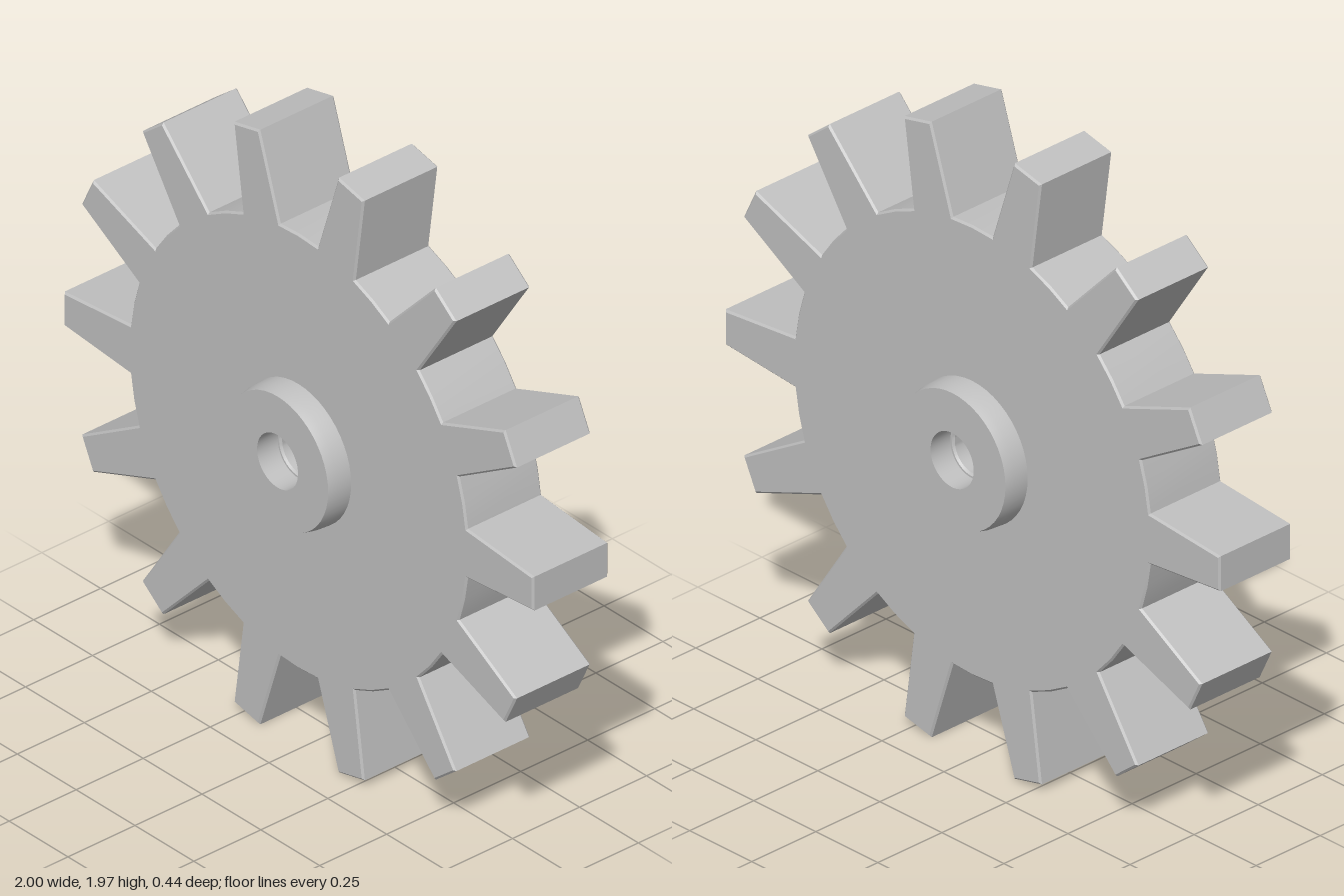
import * as THREE from 'three';
import { toCreasedNormals } from 'three/addons/utils/BufferGeometryUtils.js';

const TEETH = 14, CENTER_Y = 0.988;
const ROOT_R = 0.72, ROOT_HALF = 0.081, TIP_X = 0.998, TIP_HALF = 0.056;
const BODY_Z = 0.141, HUB_Z = 0.218, BEVEL = 0.006;

// Outline of the wheel: tapered teeth joined by short arcs at the root
function gearShape() {
  const pts = [];
  const step = (Math.PI * 2) / TEETH;
  const rootX = Math.sqrt(ROOT_R ** 2 - ROOT_HALF ** 2);
  const origin = new THREE.Vector2();
  for (let i = 0; i < TEETH; i++) {
    const corners = [[rootX, -ROOT_HALF], [TIP_X, -TIP_HALF], [TIP_X, TIP_HALF], [rootX, ROOT_HALF]];
    for (const [x, y] of corners) pts.push(new THREE.Vector2(x, y).rotateAround(origin, i * step));
    pts.push(new THREE.Vector2(ROOT_R, 0).rotateAround(origin, (i + 0.5) * step));
  }
  const shape = new THREE.Shape(pts);
  shape.holes.push(new THREE.Path().absarc(0, 0, 0.075, 0, Math.PI * 2, true));
  return shape;
}

// Slightly tapered collar with a bore wider than the wheel's hole
function hubGeometry() {
  const profile = [
    [0.226, BODY_Z - 0.01], [0.225, BODY_Z], [0.222, HUB_Z - 0.03], [0.215, HUB_Z],
    [0.087, HUB_Z], [0.087, BODY_Z - 0.01],
  ].map(([r, h]) => new THREE.Vector2(r, h));
  return toCreasedNormals(new THREE.LatheGeometry(profile, 48), 0.6);
}

export function createModel() {
  const steel = new THREE.MeshStandardMaterial({ color: 0xc0c0c0 });
  steel.name = 'grey steel';

  const model = new THREE.Group();
  model.name = 'gearWheel';

  // Toothed wheel with a fine edge bevel
  const wheelGeo = new THREE.ExtrudeGeometry(gearShape(), {
    depth: 2 * (BODY_Z - BEVEL), curveSegments: 24,
    bevelEnabled: true, bevelSegments: 1,
    bevelThickness: BEVEL, bevelSize: BEVEL, bevelOffset: -BEVEL,
  });
  wheelGeo.translate(0, 0, BEVEL - BODY_Z);
  const wheel = new THREE.Mesh(toCreasedNormals(wheelGeo, 0.5), steel);
  wheel.name = 'toothedWheel';
  model.add(wheel);

  // Hub collars, front and back
  for (const side of [1, -1]) {
    const hub = new THREE.Mesh(hubGeometry(), steel);
    hub.rotation.x = (side * Math.PI) / 2;
    hub.name = side > 0 ? 'frontHub' : 'backHub';
    model.add(hub);
  }

  // Stand the wheel on the ground
  for (const part of model.children) part.position.y = CENTER_Y;
  return model;
}
